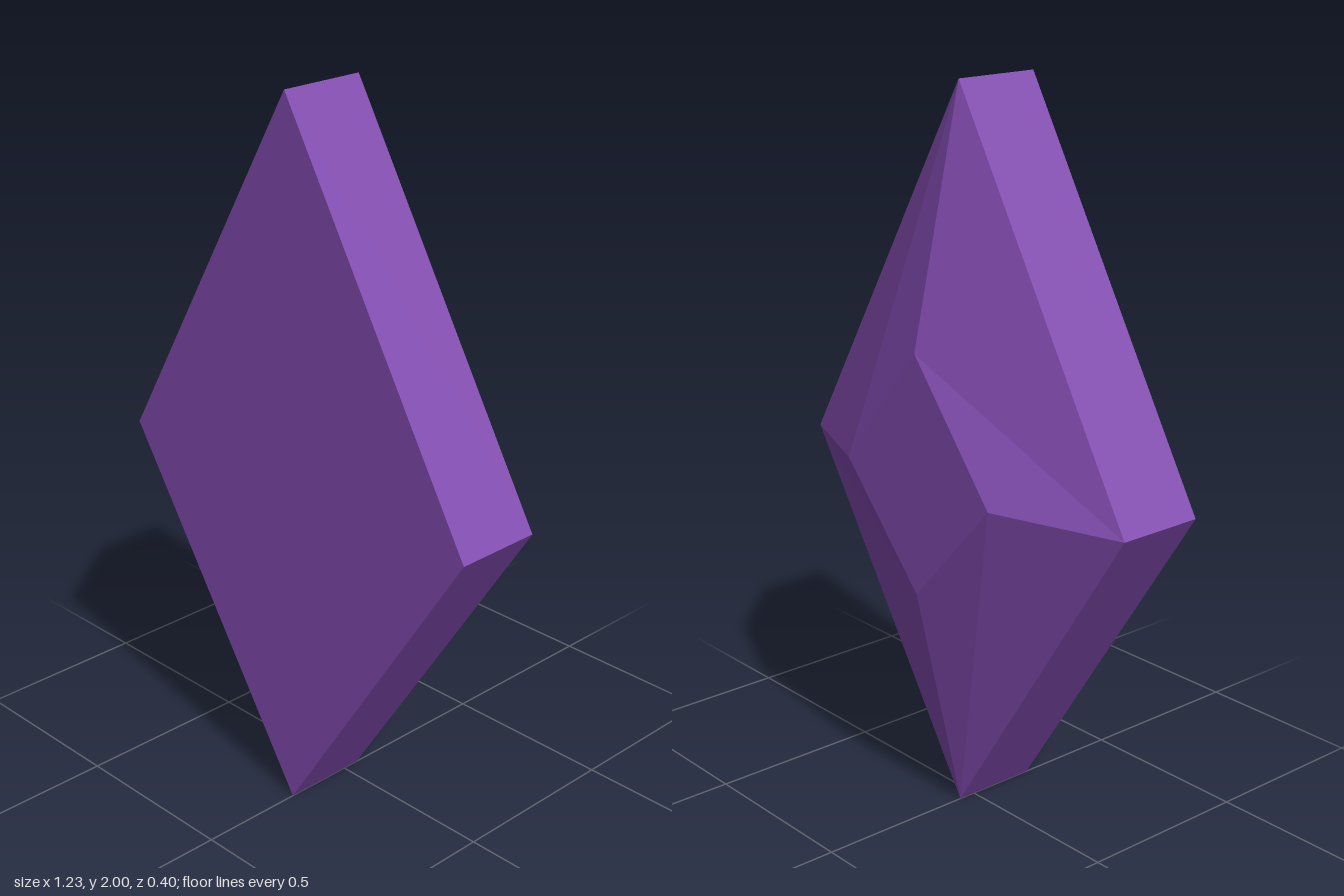
import * as THREE from 'three';

// Four-cornered outline, counter-clockwise seen from the front
const diamond = (halfWidth, top, middle, bottom, z) => [
  [0, top, z], [-halfWidth, middle, z], [0, bottom, z], [halfWidth, middle, z],
].map((p) => new THREE.Vector3(...p));

export function createModel() {
  const purple = new THREE.MeshStandardMaterial({ color: 0x824bb0, flatShading: true });
  purple.name = 'purple';

  // Cross-sections from the flat front to the small back facet
  const loops = [
    diamond(0.617, 2, 0.95, 0, 0.2),
    diamond(0.617, 2, 0.95, 0, -0.05),
    diamond(0.285, 1.32, 0.97, 0.66, -0.2),
  ];

  const points = [];
  const quad = (a, b, c, d) => points.push(a, b, c, a, c, d);

  // Front face and back facet
  quad(...loops[0]);
  quad(...[...loops[2]].reverse());

  // Straight rim, then the bevels
  for (let s = 0; s < loops.length - 1; s++) {
    for (let i = 0; i < 4; i++) {
      const j = (i + 1) % 4;
      quad(loops[s][j], loops[s][i], loops[s + 1][i], loops[s + 1][j]);
    }
  }

  const geometry = new THREE.BufferGeometry().setFromPoints(points);
  geometry.computeVertexNormals();

  const gem = new THREE.Mesh(geometry, purple);
  gem.name = 'gem';
  const model = new THREE.Group();
  model.name = 'diamondGem';
  model.add(gem);
  return model;
}
